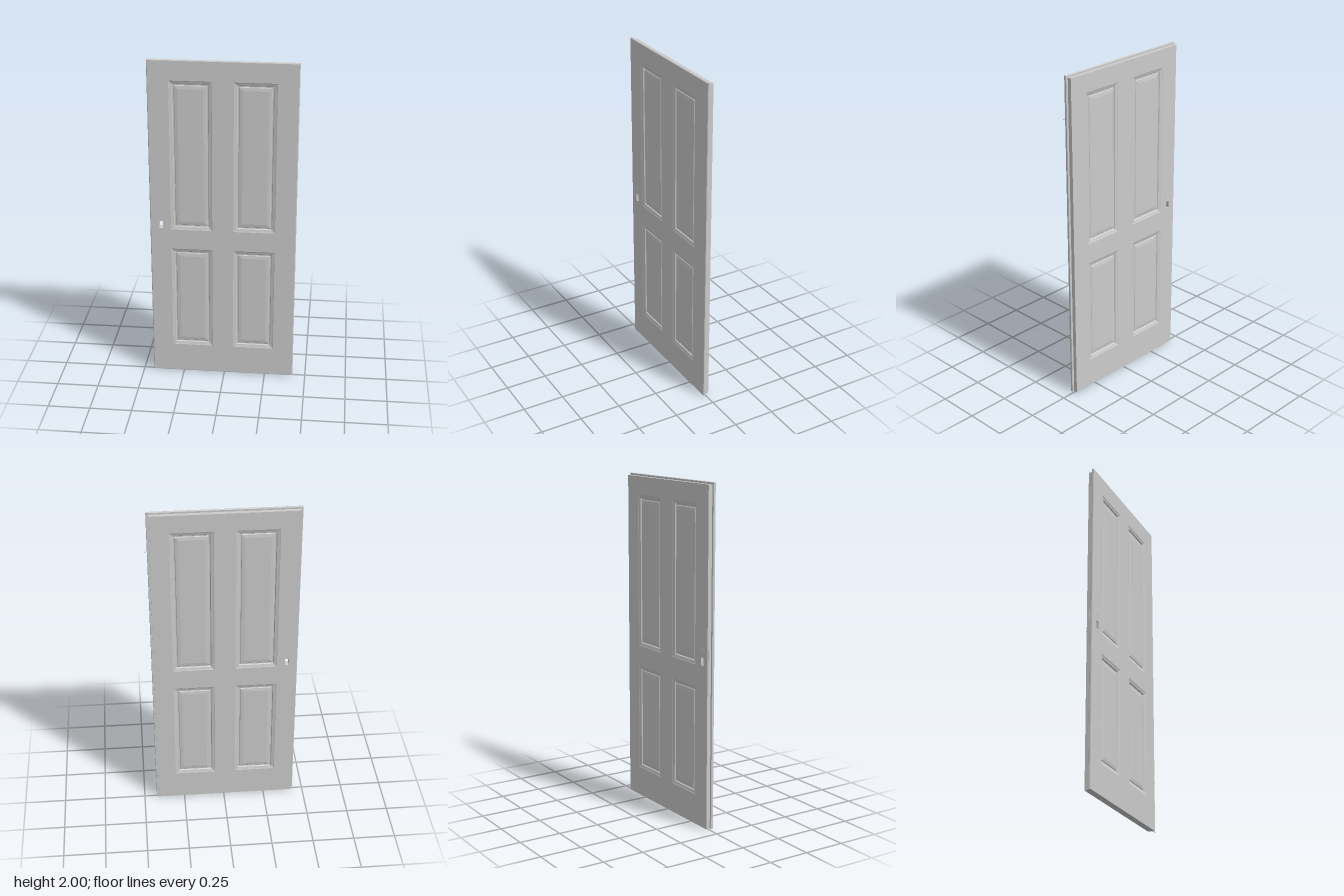
import * as THREE from 'three';

const material = new THREE.MeshStandardMaterial({ color: 0xcccccc, flatShading: true });

// Rectangle as [x0, x1, y0, y1], and a copy shrunk on all sides
const shrink = ([x0, x1, y0, y1], d) => [x0 + d, x1 - d, y0 + d, y1 - d];
const corners = ([x0, x1, y0, y1]) => [[x0, y0], [x1, y0], [x1, y1], [x0, y1]];

// Joins a sequence of rectangular rings { r, z }
function loft(rings) {
  const pos = [], index = [];
  rings.forEach(({ r, z }) => corners(r).forEach(([x, y]) => pos.push(x, y, z)));
  for (let k = 0; k < rings.length - 1; k++) {
    for (let i = 0; i < 4; i++) {
      const j = (i + 1) % 4;
      const a = k * 4 + i, b = a + 4, c = k * 4 + 4 + j, d = k * 4 + j;
      index.push(a, b, c, a, c, d);
    }
  }
  const g = new THREE.BufferGeometry();
  g.setAttribute('position', new THREE.Float32BufferAttribute(pos, 3));
  g.setIndex(index);
  const flat = g.toNonIndexed();
  flat.computeVertexNormals();
  return flat;
}

// Flat rectangle with rectangular holes, facing front or back
function sheet(r, z, back = false, holes = []) {
  const points = (q) => corners(q).map(([x, y]) => new THREE.Vector2(x, y));
  const shape = new THREE.Shape(points(r));
  holes.forEach((h) => shape.holes.push(new THREE.Path(points(h).reverse())));
  const g = new THREE.ShapeGeometry(shape);
  if (back) g.index.array.reverse();
  g.translate(0, 0, z);
  g.computeVertexNormals();
  return g;
}

export function createModel() {
  const door = new THREE.Group();
  door.name = 'door';
  const add = (parent, name, geometry) => {
    const mesh = new THREE.Mesh(geometry, material);
    mesh.name = name;
    parent.add(mesh);
    return mesh;
  };

  const FRONT = 0.019, BACK = -0.022;
  const bottom = 0.01;
  const lockHole = [-0.386, -0.362, 0.972, 1.016];
  const openings = [];
  for (const [x0, x1] of [[-0.315, -0.07], [0.055, 0.3]]) {
    for (const [y0, y1] of [[0.19, 0.84], [0.965, 1.88]]) openings.push([x0, x1, y0, y1]);
  }
  const holes = [...openings, lockHole];

  // Outer shell: rounded front lip, then the rebate stepping in to the back leaf
  const lip = (d) => [-0.439 + d, 0.424 - d, bottom, 2 - d];
  const leaf = [-0.427, 0.411, bottom, 1.988];
  add(door, 'edge', loft([
    { r: lip(0.005), z: FRONT },
    { r: lip(0.002), z: 0.0175 },
    { r: lip(0), z: 0.013 },
    { r: lip(0), z: 0.004 },
    { r: lip(0.002), z: 0.002 },
    { r: leaf, z: 0.002 },
    { r: leaf, z: BACK },
  ]));
  add(door, 'frontFace', sheet(lip(0.005), FRONT, false, holes));
  add(door, 'backFace', sheet(leaf, BACK, true, holes));
  add(door, 'lockHole', loft([{ r: lockHole, z: BACK }, { r: lockHole, z: FRONT }]));

  // Moulded panels: [inset, depth] steps of the sunk frame and raised field
  const profile = [[0, 0], [0.004, 0.002], [0.018, 0.006], [0.022, 0.012], [0.028, 0.012], [0.031, 0.009], [0.05, 0.006]];
  const [fieldInset, fieldDepth] = profile[profile.length - 1];
  openings.forEach((r) => {
    const panel = new THREE.Group();
    panel.name = 'panel';
    door.add(panel);
    const rings = (z, s) => profile.map(([d, h]) => ({ r: shrink(r, d), z: z + s * h }));
    add(panel, 'frontMoulding', loft(rings(FRONT, -1).reverse()));
    add(panel, 'backMoulding', loft(rings(BACK, 1)));
    add(panel, 'frontField', sheet(shrink(r, fieldInset), FRONT - fieldDepth));
    add(panel, 'backField', sheet(shrink(r, fieldInset), BACK + fieldDepth, true));
  });

  // Lock plate on the closing edge
  add(door, 'lockPlate', new THREE.BoxGeometry(0.002, 0.13, 0.014)).position.set(-0.4275, 1, -0.011);

  // Tiny fitting points for handles, hinges and closer
  const stud = new THREE.OctahedronGeometry(0.004);
  const studs = {
    handlePoint: [[-0.372, 1.065, FRONT], [-0.372, 1.065, BACK]],
    hingePoint: [[0.434, 1.755, 0.012], [0.434, 0.31, 0.012]],
    cornerPoint: [[0.432, 0.006, 0.012]],
    closerPoint: [[-0.009, 1.988, BACK]],
  };
  for (const [name, list] of Object.entries(studs)) {
    list.forEach((p) => add(door, name, stud).position.set(...p));
  }
  return door;
}
